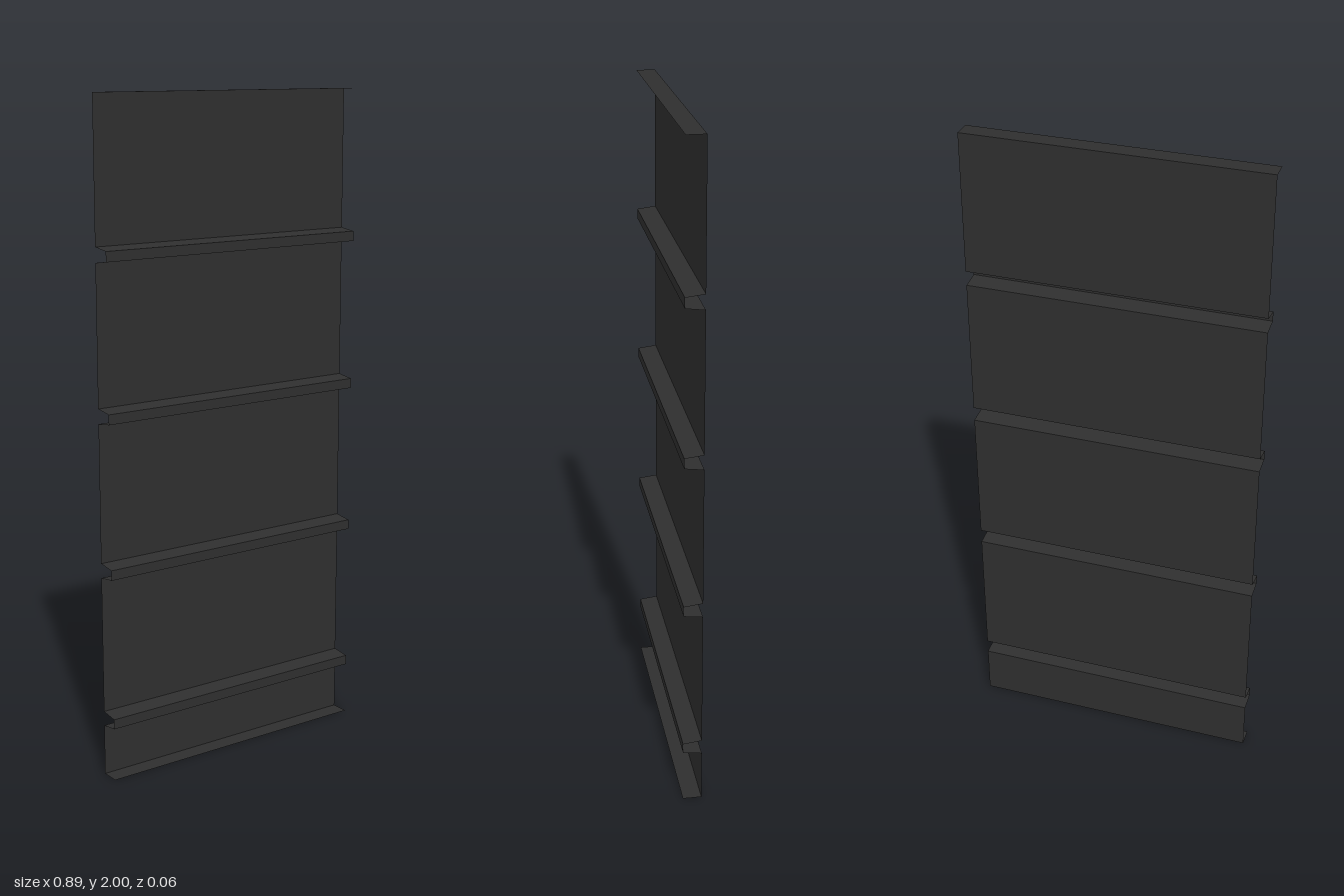
import * as THREE from 'three';

const HALF_WIDTH = 0.444;
const BACK = -0.028, FRONT = 0.028;
const PITCH = 0.46, RIB_COUNT = 4, TOP_RIB = 1.557;
const RIB_BACK = 0.022, RIB_FRONT = 0.015; // half heights of the tapered rib

// Sweep a [y, z] profile, listed from top to bottom, across the width with hard folds
function foldedStrip(name, profile, material) {
  const positions = [], indices = [];
  for (let i = 0; i < profile.length - 1; i++) {
    const base = positions.length / 3;
    for (const [y, z] of [profile[i], profile[i + 1]]) {
      positions.push(-HALF_WIDTH, y, z, HALF_WIDTH, y, z);
    }
    indices.push(base, base + 2, base + 1, base + 2, base + 3, base + 1);
  }
  const geometry = new THREE.BufferGeometry();
  geometry.setAttribute('position', new THREE.Float32BufferAttribute(positions, 3));
  geometry.setIndex(indices);
  geometry.computeVertexNormals();
  const mesh = new THREE.Mesh(geometry, material);
  mesh.name = name;
  return mesh;
}

export function createModel() {
  const group = new THREE.Group();
  group.name = 'ribbedSheetPanel';
  const charcoal = new THREE.MeshStandardMaterial({ color: 0x2e2e2e, side: THREE.DoubleSide });
  charcoal.name = 'charcoal';

  // Folded lips along the top and bottom edges
  group.add(foldedStrip('topFlange', [[2, FRONT], [2, BACK]], charcoal));
  group.add(foldedStrip('bottomFlange', [[0, BACK], [0, FRONT]], charcoal));

  // Flat panels at the back, separated by ribs folded towards the front
  let panelTop = 2;
  for (let i = 0; i < RIB_COUNT; i++) {
    const y = TOP_RIB - i * PITCH;
    group.add(foldedStrip(`flatPanel${i + 1}`, [[panelTop, BACK], [y + RIB_BACK, BACK]], charcoal));
    group.add(foldedStrip(`rib${i + 1}`, [
      [y + RIB_BACK, BACK], [y + RIB_FRONT, FRONT],
      [y - RIB_FRONT, FRONT], [y - RIB_BACK, BACK],
    ], charcoal));
    panelTop = y - RIB_BACK;
  }
  group.add(foldedStrip('bottomPanel', [[panelTop, BACK], [0, BACK]], charcoal));

  return group;
}
